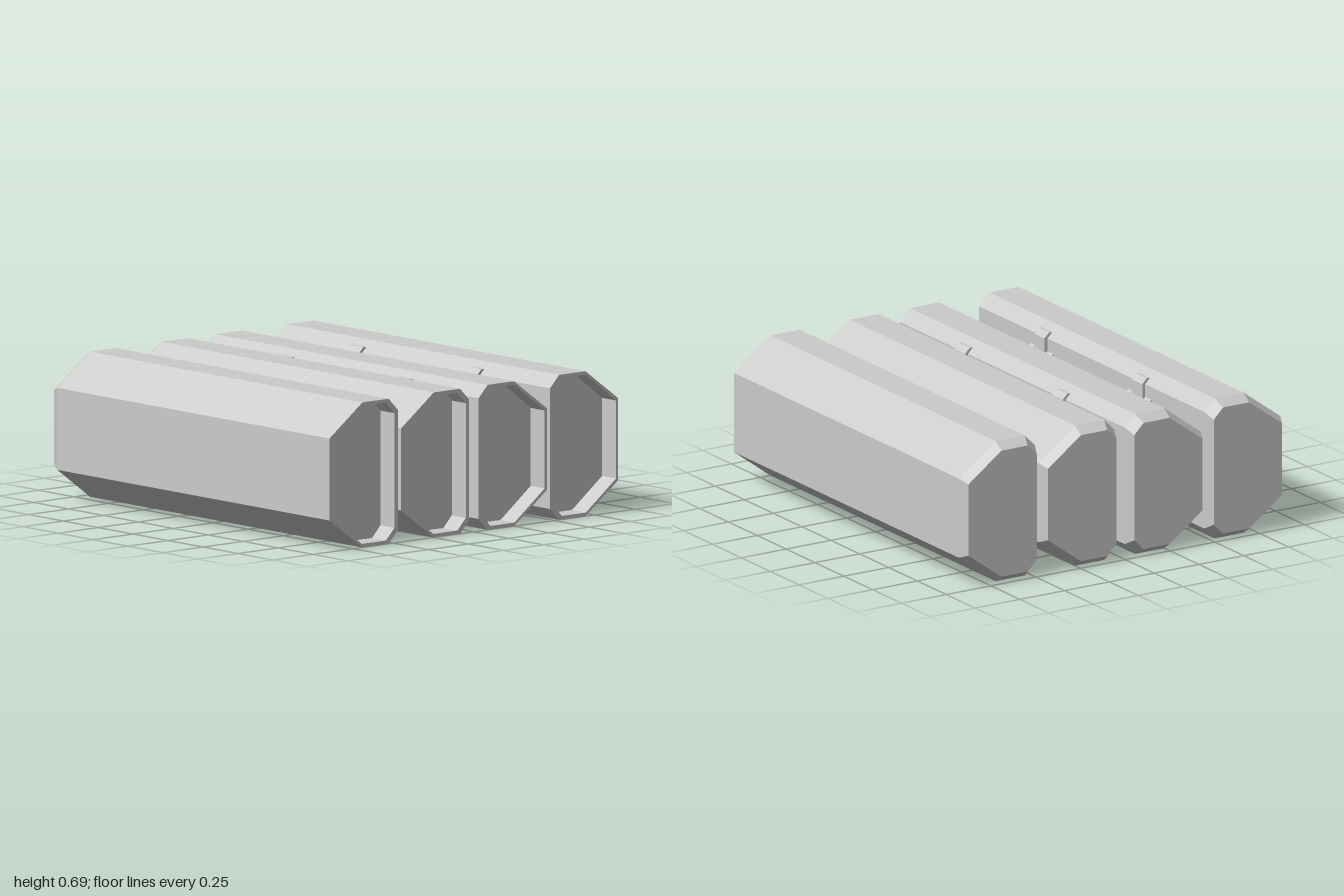
import * as THREE from 'three';

const MID = 0.345; // height of the tube axis
const mat = new THREE.MeshStandardMaterial({ color: 0xcccccc, flatShading: true });

// Eight-sided tube section about its own centre, counter-clockwise from the front
const SECTION = [
  [-0.212, -0.195], [-0.008, -0.345], [0.155, -0.345], [0.212, -0.287],
  [0.212, 0.287], [0.155, 0.345], [-0.008, 0.345], [-0.212, 0.195],
];

// Mirror a profile across x when side is -1, keeping its winding
function mirrored(points, side) {
  const out = points.map(([x, y]) => [x * side, y]);
  return side < 0 ? out.reverse() : out;
}

// Closed tube: recessed floor, rim, outer walls, bevelled back end
function tubeGeometry(side) {
  const rings = [
    { z: 0.9, sx: 0.92, sy: 0.95, dx: -0.004 },
    { z: 1, sx: 0.92, sy: 0.95, dx: -0.004 },
    { z: 1, sx: 1, sy: 1, dx: 0 },
    { z: -0.95, sx: 1, sy: 1, dx: 0 },
    { z: -1, sx: 0.9, sy: 0.9, dx: 0 },
  ].map(({ z, sx, sy, dx }) =>
    mirrored(SECTION.map(([x, y]) => [x * sx + dx, y * sy]), side).map(([x, y]) => [x, y, z]));
  const n = SECTION.length;
  const pos = [];
  const tri = (a, b, c) => pos.push(...a, ...b, ...c);
  for (let r = 0; r < rings.length - 1; r++) {
    for (let i = 0; i < n; i++) {
      const j = (i + 1) % n, a = rings[r], b = rings[r + 1];
      tri(a[i], b[i], b[j]);
      tri(a[i], b[j], a[j]);
    }
  }
  const floor = rings[0], back = rings[rings.length - 1];
  for (let i = 1; i < n - 1; i++) {
    tri(floor[0], floor[i], floor[i + 1]);
    tri(back[0], back[i + 1], back[i]);
  }
  const geo = new THREE.BufferGeometry();
  geo.setAttribute('position', new THREE.Float32BufferAttribute(pos, 3));
  geo.computeVertexNormals();
  return geo;
}

// Profile extruded along z, centred on z
function strip(name, points, side, width, z) {
  const shape = new THREE.Shape(mirrored(points, side).map(([x, y]) => new THREE.Vector2(x, y)));
  const geo = new THREE.ExtrudeGeometry(shape, { depth: width, bevelEnabled: false });
  const mesh = new THREE.Mesh(geo, mat);
  mesh.name = name;
  mesh.position.z = z - width / 2;
  return mesh;
}

// Plate lying against the inner wall, with sloped ends
const PLATE = [[0.2, -0.225], [0.212, -0.225], [0.239, -0.205], [0.239, 0.205], [0.212, 0.225], [0.2, 0.225]];
// Hook folded over the bevelled edge of the tube
const HOOK = [[0.2, 0.2], [0.212, 0.205], [0.228, 0.22], [0.228, 0.29], [0.203, 0.315], [0.182, 0.315], [0.2, 0.28]];

export function createModel() {
  const model = new THREE.Group();
  model.name = 'tubeBank';
  for (const side of [1, -1]) {
    const geo = tubeGeometry(side);
    for (const [label, x] of [['outer', -0.685], ['inner', -0.241]]) {
      const unit = new THREE.Group();
      unit.name = `${label}${side > 0 ? 'Right' : 'Left'}Tube`;
      unit.position.set(x * side, MID, 0);
      const body = new THREE.Mesh(geo, mat);
      body.name = 'tubeBody';
      unit.add(body);
      // Two connectors along the length, each with a hook above and below
      for (const z of [-0.393, 0.453]) {
        unit.add(strip('connectorPlate', PLATE, side, 0.2, z));
        unit.add(strip('upperHook', HOOK, side, 0.09, z));
        const lower = HOOK.map(([hx, hy]) => [hx, -hy]).reverse();
        unit.add(strip('lowerHook', lower, side, 0.09, z));
      }
      model.add(unit);
    }
  }
  return model;
}
